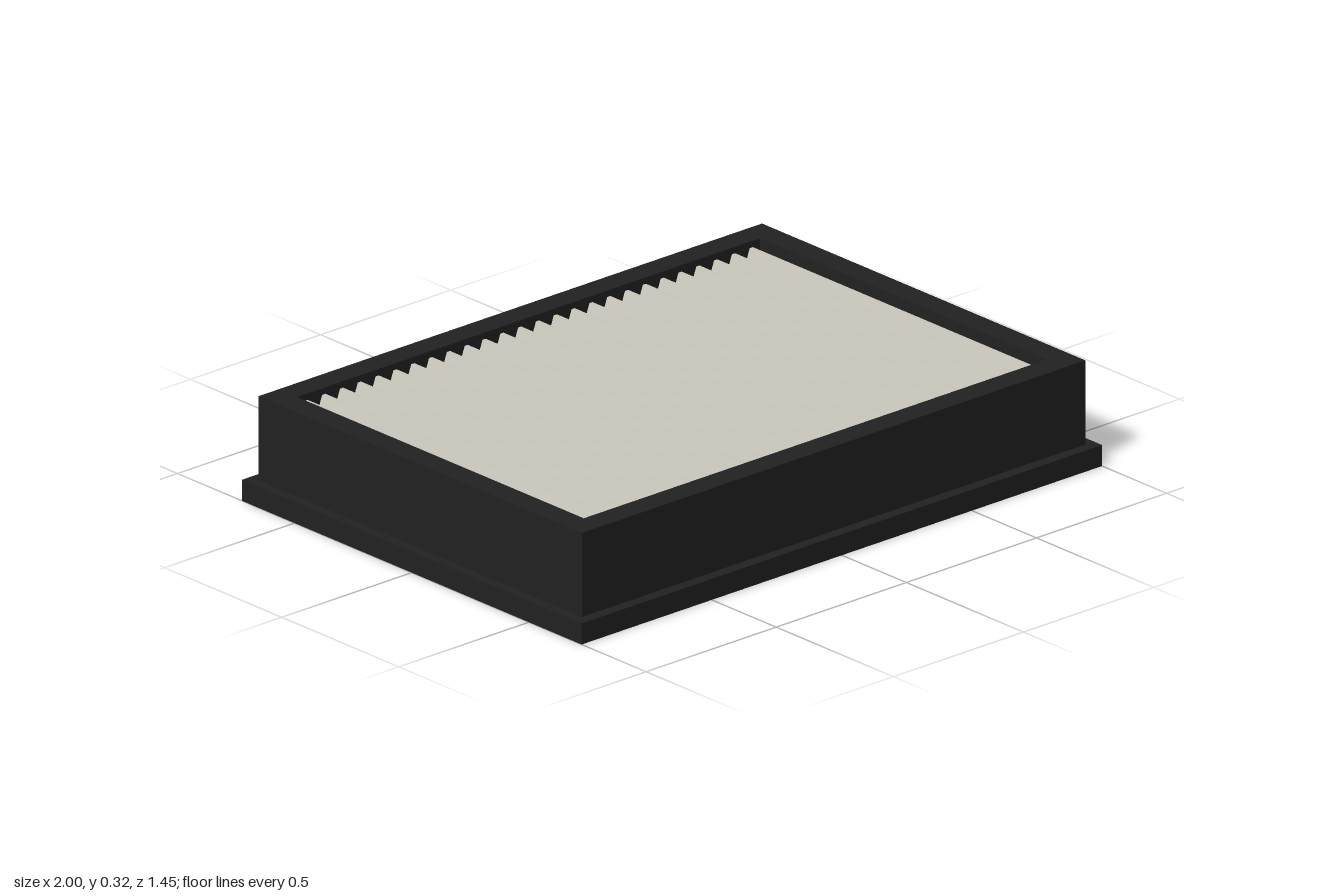
import * as THREE from 'three';

const black = new THREE.MeshStandardMaterial({ color: 0x222222 });
black.name = 'black rubber';
const paper = new THREE.MeshStandardMaterial({ color: 0xcac7bb });
paper.name = 'filter paper';

const FLANGE = { x: 1, z: 0.725, top: 0.065 };
const BODY = { x: 0.967, z: 0.69, top: 0.325 };
const OPENING = { x: 0.89, z: 0.612 };
const PLEATS = { count: 26, peak: 0.305, valley: 0.245 };

function addMesh(group, name, geometry, material) {
  const mesh = new THREE.Mesh(geometry, material);
  mesh.name = name;
  group.add(mesh);
  return mesh;
}

function rectangle(PathType, halfX, halfZ) {
  return new PathType([
    new THREE.Vector2(-halfX, -halfZ),
    new THREE.Vector2(halfX, -halfZ),
    new THREE.Vector2(halfX, halfZ),
    new THREE.Vector2(-halfX, halfZ),
  ]);
}

// Upright rim with a rectangular opening
function frameGeometry() {
  const shape = rectangle(THREE.Shape, BODY.x, BODY.z);
  shape.holes.push(rectangle(THREE.Path, OPENING.x, OPENING.z));
  const geometry = new THREE.ExtrudeGeometry(shape, { depth: BODY.top - FLANGE.top, bevelEnabled: false });
  geometry.rotateX(-Math.PI / 2);
  geometry.translate(0, FLANGE.top, 0);
  return geometry;
}

// Folded paper: a row of narrow-topped pleats running front to back
function pleatGeometry() {
  const { count, peak, valley } = PLEATS;
  const pitch = (2 * OPENING.x) / count;
  const shape = new THREE.Shape();
  shape.moveTo(-OPENING.x, FLANGE.top);
  shape.lineTo(OPENING.x, FLANGE.top);
  for (let i = count - 1; i >= 0; i--) {
    const x = -OPENING.x + i * pitch;
    shape.lineTo(x + pitch * 0.91, valley);
    shape.lineTo(x + pitch * 0.59, peak);
    shape.lineTo(x + pitch * 0.41, peak);
    shape.lineTo(x + pitch * 0.09, valley);
  }
  shape.lineTo(-OPENING.x, valley);
  shape.closePath();
  const geometry = new THREE.ExtrudeGeometry(shape, { depth: 2 * OPENING.z, bevelEnabled: false });
  geometry.translate(0, 0, -OPENING.z);
  return geometry;
}

export function createModel() {
  const model = new THREE.Group();
  model.name = 'airFilter';

  // Wide sealing flange, closed underneath
  const flange = addMesh(model, 'sealingFlange',
    new THREE.BoxGeometry(2 * FLANGE.x, FLANGE.top, 2 * FLANGE.z), black);
  flange.position.y = FLANGE.top / 2;

  addMesh(model, 'frame', frameGeometry(), black);
  addMesh(model, 'pleatedPaper', pleatGeometry(), paper);

  return model;
}
